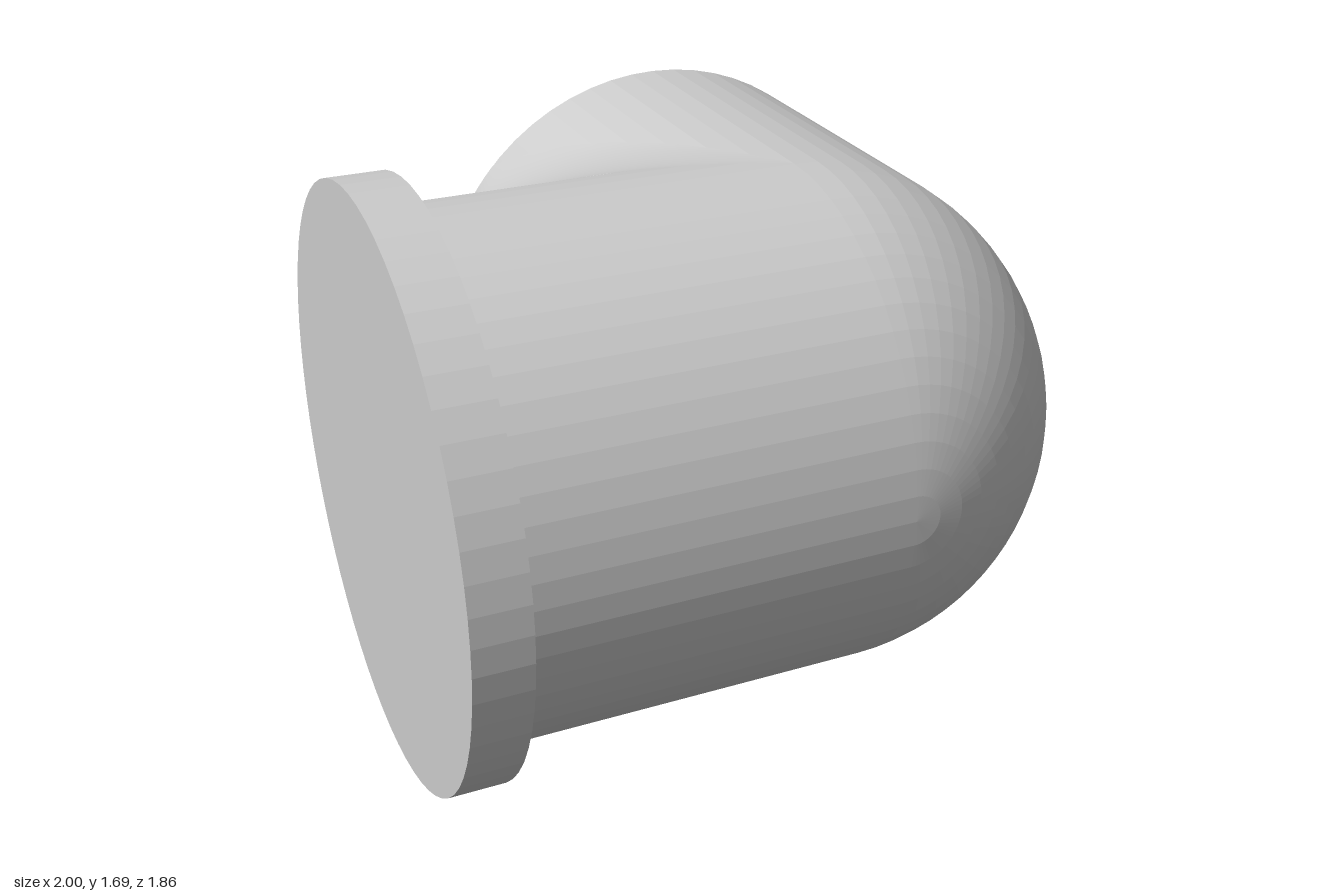
import * as THREE from 'three';

const R = 0.75;                 // pipe radius
const SIDES = 64;
const AXIS = new THREE.Vector3(0.25, 0.845, 0.085);  // where both pipe axes meet
const FLANGE_X = -0.84;         // inner face of the flange
const END_Z = -0.93;            // open end of the back pipe

export function createModel() {
  const group = new THREE.Group();
  const material = new THREE.MeshStandardMaterial({ color: 0xcccccc, flatShading: true });
  const add = (name, geometry, mat = material) => {
    const mesh = new THREE.Mesh(geometry, mat);
    mesh.name = name;
    group.add(mesh);
    return mesh;
  };

  // Pipe running sideways from the flange to the corner
  const sideLength = AXIS.x - FLANGE_X;
  add('sidePipe', new THREE.CylinderGeometry(R, R, sideLength, SIDES, 1, true).rotateZ(Math.PI / 2))
    .position.set(FLANGE_X + sideLength / 2, AXIS.y, AXIS.z);

  // Pipe running back from the corner, closed by a flat disc
  const backLength = AXIS.z - END_Z;
  add('backPipe', new THREE.CylinderGeometry(R, R, backLength, SIDES, 1, true).rotateX(Math.PI / 2))
    .position.set(AXIS.x, AXIS.y, END_Z + backLength / 2);
  add('backPipeEnd', new THREE.CircleGeometry(R, SIDES).rotateY(Math.PI))
    .position.set(AXIS.x, AXIS.y, END_Z);

  // Rounded outer corner
  add('roundedCorner', new THREE.SphereGeometry(R, SIDES, SIDES / 2).rotateX(Math.PI / 2))
    .position.copy(AXIS);

  // Flange collar
  add('flange', new THREE.CylinderGeometry(0.845, 0.845, 0.16, SIDES).rotateZ(Math.PI / 2))
    .position.set(-0.92, AXIS.y, AXIS.z);

  // Inner corner fillet
  const smooth = new THREE.MeshStandardMaterial({ color: 0xcccccc, side: THREE.DoubleSide });
  add('innerFillet', filletGeometry(), smooth);
  return group;
}

// Horizontal curves that blend one pipe into the other, stacked around the inner half turn
function filletGeometry() {
  const geometry = new THREE.PlaneGeometry(1, 1, 24, 64);
  const pos = geometry.attributes.position;
  for (let i = 0; i < pos.count; i++) {
    const s = 0.5 - pos.getX(i);
    const angle = pos.getY(i) * Math.PI;
    const k = Math.cos(angle);
    const cornerX = AXIS.x - R * k, cornerZ = AXIS.z - R * k;
    const reach = 0.627 * k;                               // length along the side pipe
    const depth = Math.min(reach, cornerZ - END_Z);        // length along the back pipe
    const t = reach > 1e-6 ? depth / reach : 1;
    const slope = THREE.MathUtils.degToRad(Math.min(90, 47 + 43 * (t - 0.42) / 0.58));
    const bend = -depth / Math.tan(slope);                 // where the end tangents cross
    const curve = new THREE.CubicBezierCurve(
      new THREE.Vector2(-reach, 0),
      new THREE.Vector2(-reach + 0.6 * (bend + reach), 0),
      new THREE.Vector2(0.6 * bend, -0.4 * depth),
      new THREE.Vector2(0, -depth));
    const p = curve.getPoint(s);
    pos.setXYZ(i, Math.max(cornerX + p.x, -0.9), AXIS.y + R * Math.sin(angle), cornerZ + p.y);
  }
  geometry.computeVertexNormals();
  return geometry;
}
